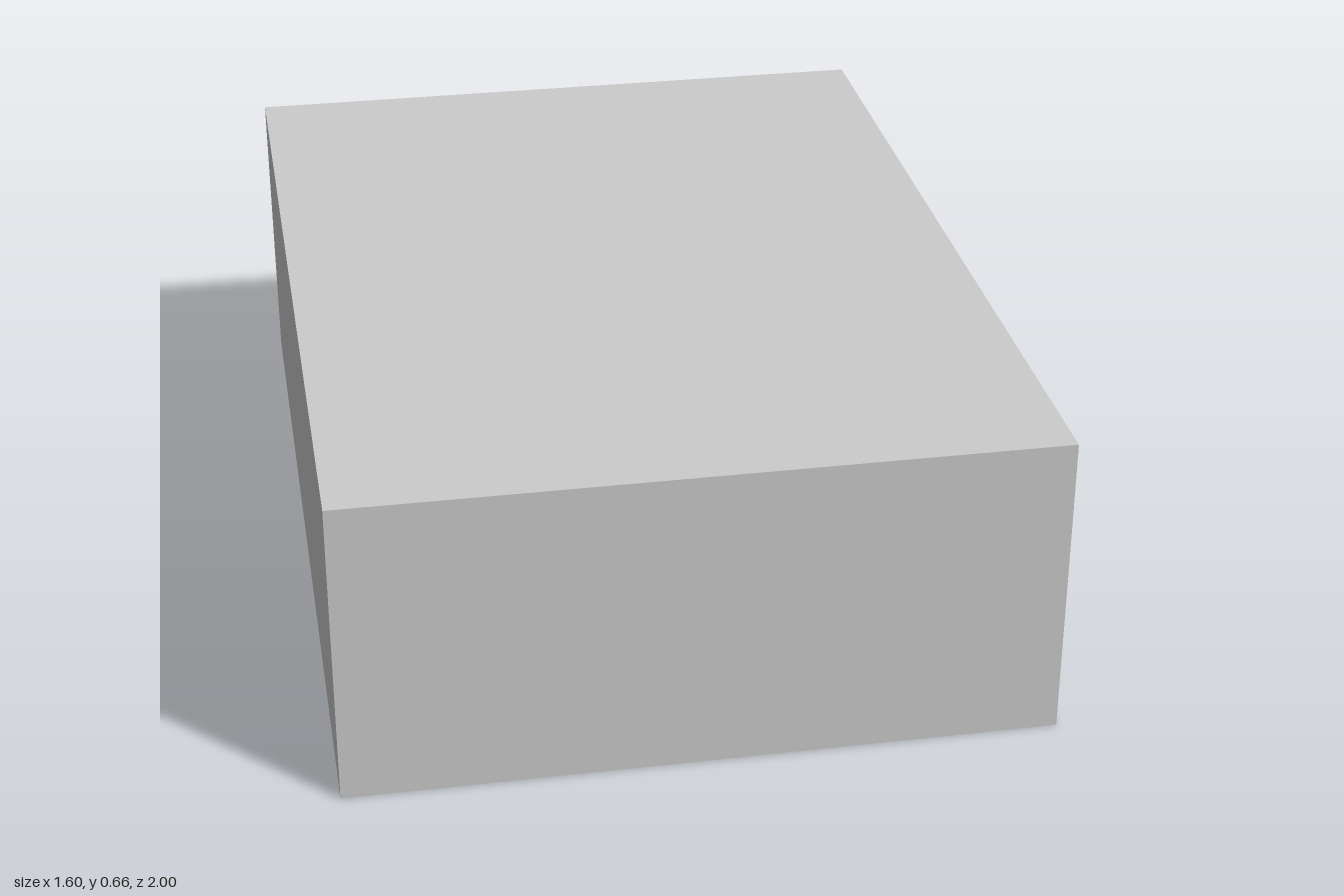
import * as THREE from 'three';

const material = new THREE.MeshStandardMaterial({ color: 0xcccccc, flatShading: true, side: THREE.DoubleSide });

// Box given by its minimum and maximum corners
function box(name, [x0, y0, z0], [x1, y1, z1]) {
  const mesh = new THREE.Mesh(new THREE.BoxGeometry(x1 - x0, y1 - y0, z1 - z0), material);
  mesh.position.set((x0 + x1) / 2, (y0 + y1) / 2, (z0 + z1) / 2);
  mesh.name = name;
  return mesh;
}

export function createModel() {
  const model = new THREE.Group();
  model.name = 'building';
  const L = -0.8, W = 0.67, P = 0.8, H = 0.66; // back wall, door wall, porch edge, roof height
  const t = 0.01; // shell thickness

  // Hollow building shell
  const shell = new THREE.Group();
  shell.name = 'shell';
  shell.add(
    box('floor', [L, 0, -1], [W, t, 1]),
    box('roof', [L, H - t, -1], [W, H, 1]),
    box('rearWall', [L, t, -1], [L + t, H - t, 1]),
    box('leftEndWall', [L + t, t, 1 - t], [W - t, H - t, 1]),
    box('rightEndWall', [L + t, t, -1], [W - t, H - t, -1 + t])
  );

  // Entrance wall with an open doorway
  const wall = new THREE.Shape([[-1, t], [1, t], [1, H - t], [-1, H - t]].map(p => new THREE.Vector2(...p)));
  const d = 0.105, top = 0.33, c = 0.007;
  wall.holes.push(new THREE.Path([
    [-d, 0.045], [-d, top - c], [-d + c, top], [d - c, top], [d, top - c], [d, 0.045],
  ].map(p => new THREE.Vector2(...p))));
  const doorWall = new THREE.Mesh(new THREE.ExtrudeGeometry(wall, { depth: t, bevelEnabled: false }), material);
  doorWall.rotation.y = Math.PI / 2;
  doorWall.position.x = W - t;
  doorWall.name = 'doorWall';
  shell.add(doorWall);
  model.add(shell);

  // Porch slab, canopy and low parapets around the step gap
  const porch = new THREE.Group();
  porch.name = 'porch';
  const e = 0.328, gap = 0.137, r = 0.03, rail = 0.158, slab = 0.045;
  porch.add(
    box('porchSlab', [W, 0, -e], [P, slab, e]),
    box('canopy', [W, 0.402, -e], [P, 0.446, e])
  );
  for (const s of [-1, 1]) {
    const span = (a, b) => [Math.min(s * a, s * b), Math.max(s * a, s * b)];
    const [f0, f1] = span(gap, e);
    const [s0, s1] = span(e - r, e);
    porch.add(
      box('frontParapet', [P - r, slab, f0], [P, rail, f1]),
      box('sideParapet', [W, slab, s0], [P - r, rail, s1])
    );
  }
  model.add(porch);
  return model;
}
